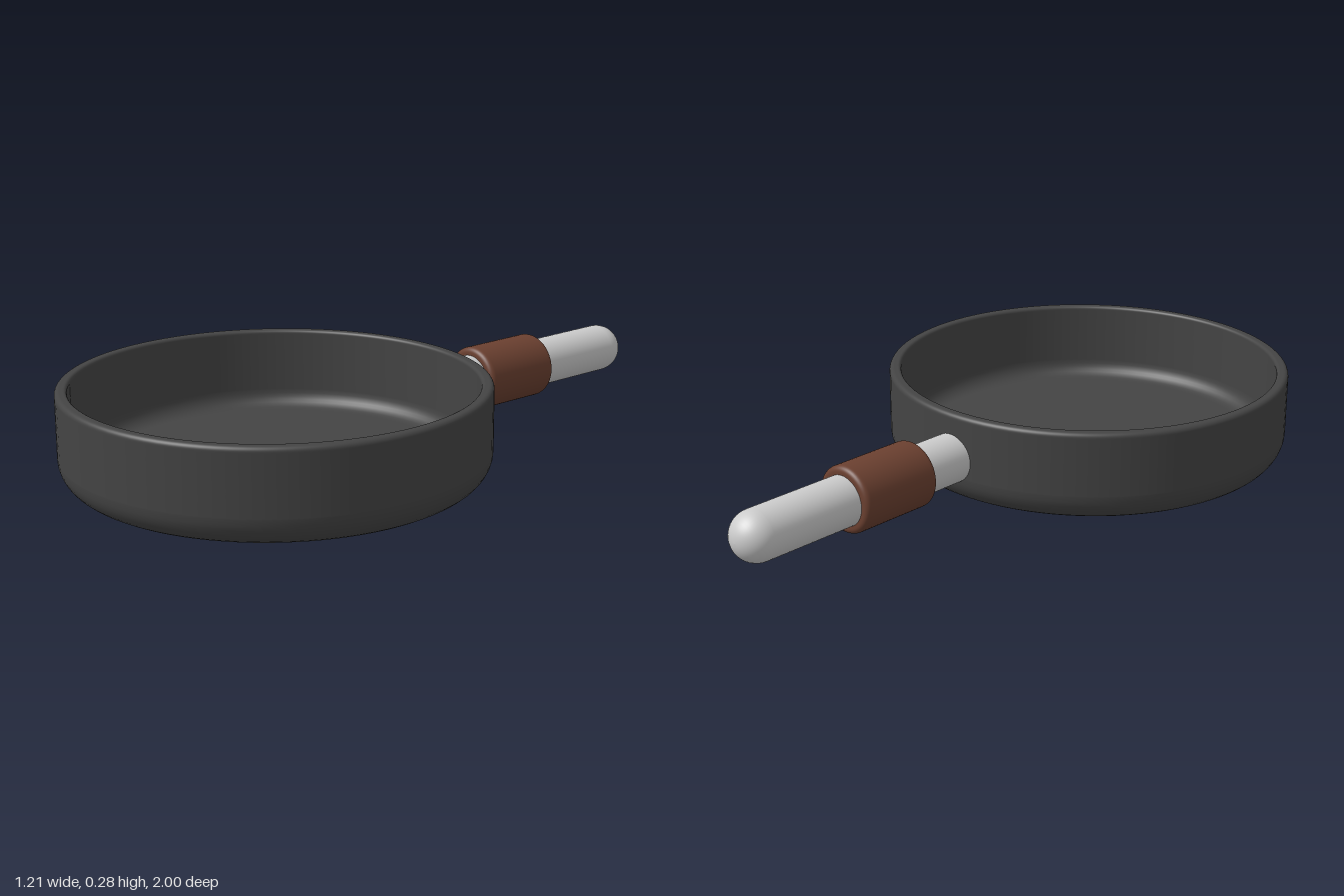
import * as THREE from 'three';

// Profile through corners [radius, height, fillet], with rounded corners
// and a support point beside each arc so flat stretches stay flat.
function roundedProfile(corners, steps = 8) {
  const pts = corners.map(([x, y]) => new THREE.Vector2(x, y));
  const out = [];
  corners.forEach(([, , r], i) => {
    const c = pts[i];
    if (!r) { out.push(c); return; }
    const a = pts[i - 1].clone().sub(c).normalize();
    const b = pts[i + 1].clone().sub(c).normalize();
    const centre = c.clone().addScaledVector(a, r).addScaledVector(b, r);
    out.push(c.clone().addScaledVector(a, r + 0.003));
    for (let s = 0; s <= steps; s++) {
      const t = (s / steps) * Math.PI / 2;
      out.push(centre.clone()
        .addScaledVector(b, -r * Math.cos(t))
        .addScaledVector(a, -r * Math.sin(t)));
    }
    out.push(c.clone().addScaledVector(b, r + 0.003));
  });
  return out;
}

function lathe(name, profile, color, segments) {
  const mesh = new THREE.Mesh(
    new THREE.LatheGeometry(profile, segments),
    new THREE.MeshStandardMaterial({ color }));
  mesh.name = name;
  return mesh;
}

export function createModel() {
  const model = new THREE.Group();
  model.name = 'fryingPan';

  // Pan bowl: outer shell, rounded rim and inner floor in one profile
  const bowl = lathe('panBowl', roundedProfile([
    [0, 0, 0], [0.605, 0, 0.085], [0.605, 0.275, 0.014],
    [0.57, 0.275, 0.01], [0.57, 0.035, 0.05], [0, 0.035, 0],
  ]), 0x444444, 96);
  bowl.position.z = 0.395;
  model.add(bowl);

  // Handle runs back along -z from the pan wall
  const handle = new THREE.Group();
  handle.name = 'handle';
  handle.position.y = 0.14;
  handle.rotation.x = -Math.PI / 2;
  model.add(handle);

  // Rod with a domed end
  handle.add(lathe('handleRod', roundedProfile([
    [0, 0.188, 0], [0.073, 0.188, 0.006], [0.073, 1, 0.073], [0, 1, 0],
  ], 12).filter((p) => p.x >= 0), 0xcccccc, 48));

  // Grip sleeve around the rod
  handle.add(lathe('gripSleeve', roundedProfile([
    [0, 0.358, 0], [0.097, 0.358, 0.016], [0.097, 0.625, 0.016], [0, 0.625, 0],
  ]), 0x6b4030, 48));

  return model;
}
